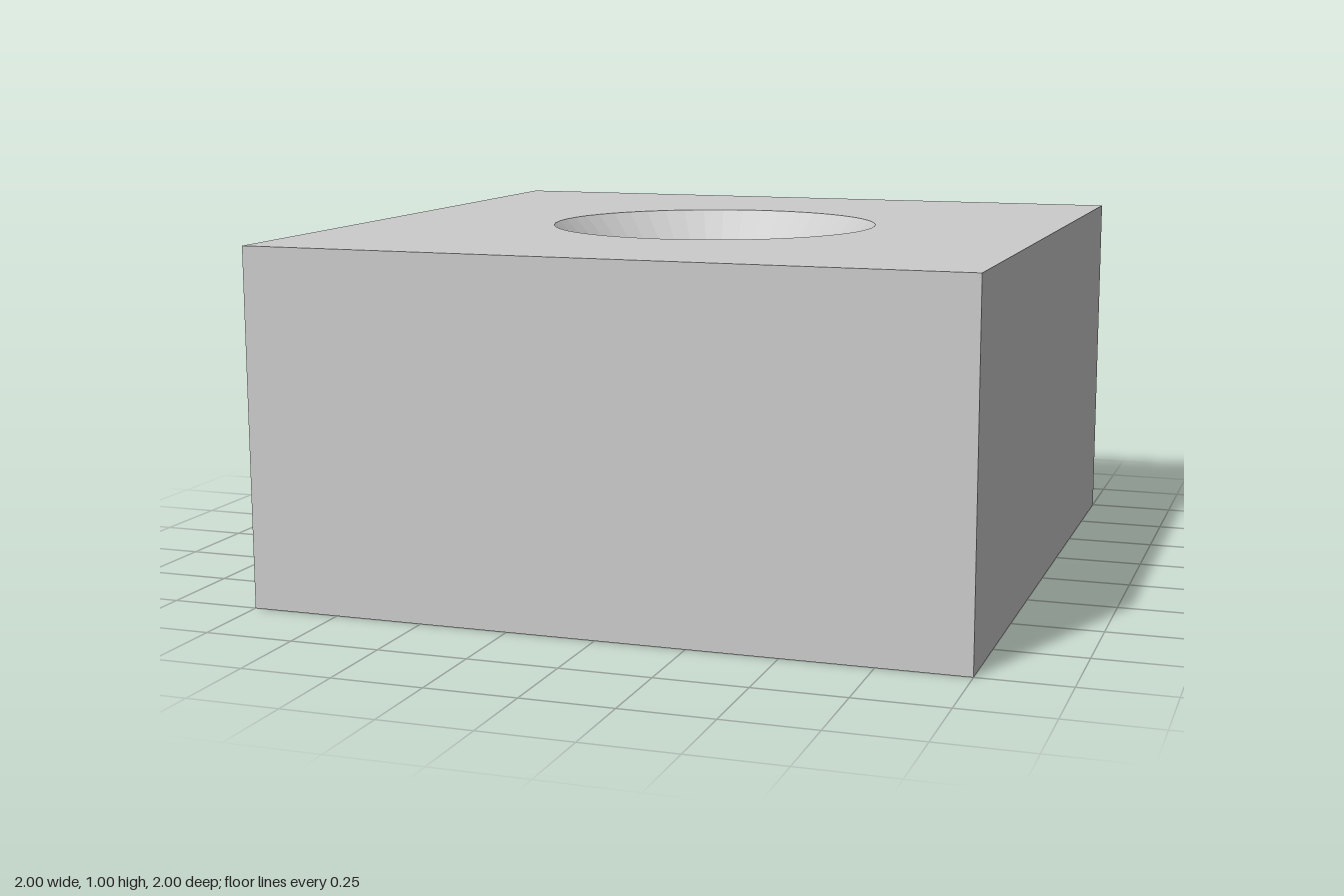
import * as THREE from 'three';

const HALF = 1, HEIGHT = 1;
const BORE = 0.375, RIM = 0.475, SINK_DEPTH = 0.1;
const SEGMENTS = 48;

export function createModel() {
  const group = new THREE.Group();
  group.name = 'countersunkBlock';
  const material = new THREE.MeshStandardMaterial({ color: 0xcccccc, flatShading: true });

  const add = (name, geometry) => {
    const flat = geometry.index ? geometry.toNonIndexed() : geometry;
    flat.computeVertexNormals();
    const mesh = new THREE.Mesh(flat, material);
    mesh.name = name;
    group.add(mesh);
    return mesh;
  };

  // Square plate with a round opening, facing +z before it is turned
  const face = (radius) => {
    const shape = new THREE.Shape([
      new THREE.Vector2(-HALF, -HALF), new THREE.Vector2(HALF, -HALF),
      new THREE.Vector2(HALF, HALF), new THREE.Vector2(-HALF, HALF),
    ]);
    shape.holes.push(new THREE.Path().absarc(0, 0, radius, 0, Math.PI * 2, true));
    return new THREE.ShapeGeometry(shape, SEGMENTS / 2);
  };

  // Top and bottom faces
  add('topFace', face(RIM).rotateX(-Math.PI / 2).translate(0, HEIGHT, 0));
  add('bottomFace', face(BORE).rotateX(Math.PI / 2));

  // Four outer walls
  const r = HALF * Math.SQRT2;
  add('outerWalls', new THREE.CylinderGeometry(r, r, HEIGHT, 4, 1, true)
    .rotateY(Math.PI / 4).translate(0, HEIGHT / 2, 0));

  // Conical countersink and straight bore, profiled downwards so they face the axis
  const ring = (name, r0, y0, r1, y1) => add(name, new THREE.LatheGeometry(
    [new THREE.Vector2(r0, y0), new THREE.Vector2(r1, y1)], SEGMENTS));
  ring('countersink', RIM, HEIGHT, BORE, HEIGHT - SINK_DEPTH);
  ring('bore', BORE, HEIGHT - SINK_DEPTH, BORE, 0);

  return group;
}
